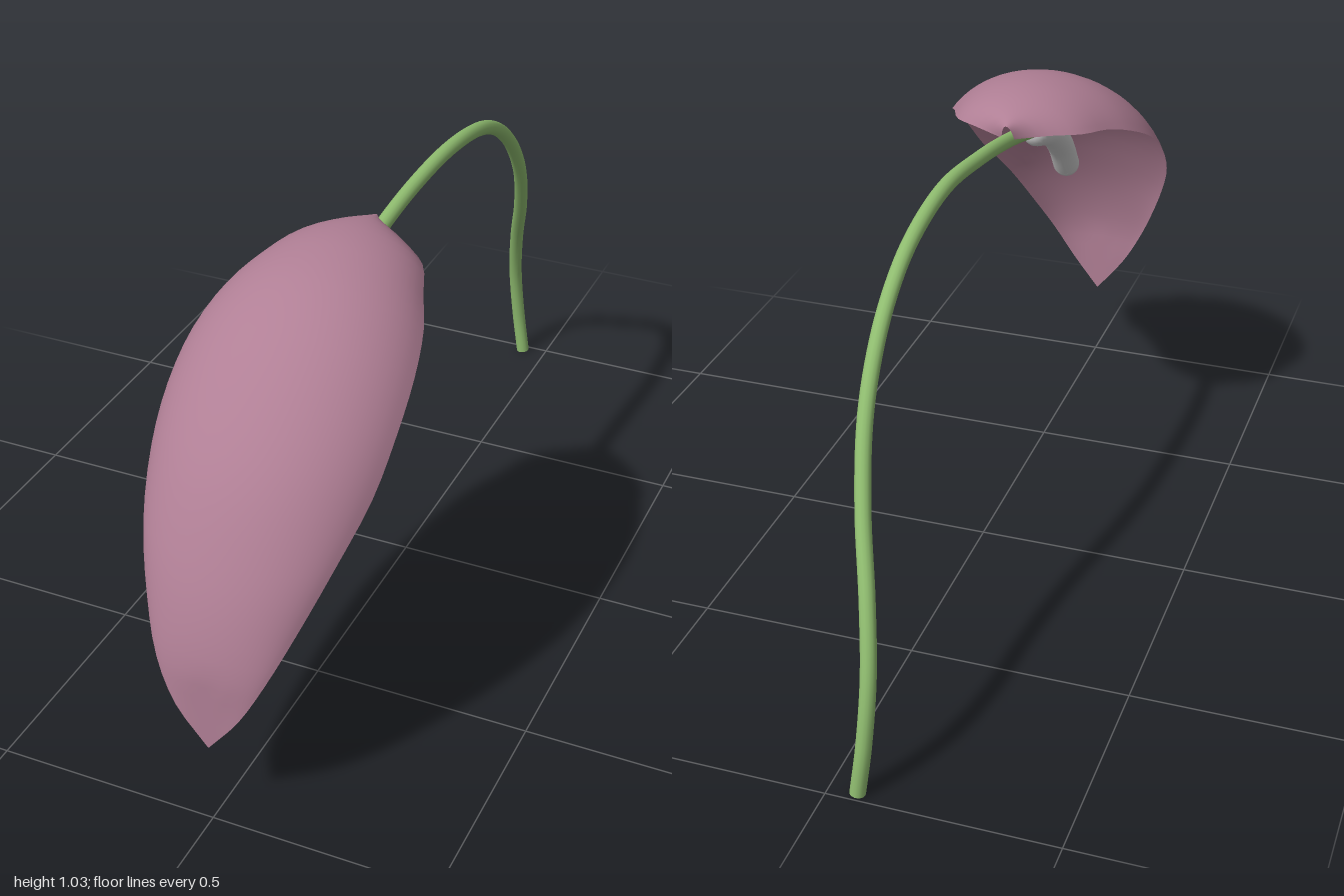
import * as THREE from 'three';

const v = (x, y, z) => new THREE.Vector3(x, y, z);
const curveOf = (pts) => new THREE.CatmullRomCurve3(pts.map((p) => v(...p)));

function addMesh(parent, name, geometry, material) {
  const mesh = new THREE.Mesh(geometry, material);
  mesh.name = name;
  parent.add(mesh);
  return mesh;
}

// Cupped leaf: each row arcs from one rim, over the ridge, to the other rim
function spatheGeometry(rows, nv = 36, nu = 24, bend = 1.2) {
  const ridge = curveOf(rows.map(([z, y]) => [0, y, z]));
  const rim = curveOf(rows.map(([, , x, z, y]) => [x, y, z]));
  const positions = [], index = [];
  for (let j = 0; j <= nv; j++) {
    const a = ridge.getPoint(j / nv), b = rim.getPoint(j / nv);
    for (let i = 0; i <= nu; i++) {
      const t = ((i / nu) * 2 - 1) * bend;
      const across = Math.sin(t) / Math.sin(bend);
      const drop = (1 - Math.cos(t)) / (1 - Math.cos(bend));
      positions.push(b.x * across, a.y + (b.y - a.y) * drop, Math.min(1, a.z + (b.z - a.z) * drop));
      if (i < nu && j < nv) {
        const p = j * (nu + 1) + i, q = p + nu + 1;
        index.push(p, q, p + 1, p + 1, q, q + 1);
      }
    }
  }
  const g = new THREE.BufferGeometry();
  g.setAttribute('position', new THREE.Float32BufferAttribute(positions, 3));
  g.setIndex(index);
  g.computeVertexNormals();
  return g;
}

export function createModel() {
  const model = new THREE.Group();
  model.name = 'flower';
  const purple = new THREE.MeshStandardMaterial({ color: 0xb07f95, side: THREE.DoubleSide });
  const green = new THREE.MeshStandardMaterial({ color: 0x8fbc6f });
  const grey = new THREE.MeshStandardMaterial({ color: 0xcccccc });

  // Spathe rows: ridge z, ridge y, rim x, rim z, rim y
  addMesh(model, 'spathe', spatheGeometry([
    [0.16, 0.995, 0.015, 0.175, 0.96],
    [0.22, 1.015, 0.09, 0.21, 0.965],
    [0.29, 1.028, 0.15, 0.26, 0.957],
    [0.38, 1.03, 0.19, 0.35, 0.94],
    [0.5, 1.01, 0.225, 0.43, 0.91],
    [0.62, 0.955, 0.248, 0.53, 0.86],
    [0.74, 0.86, 0.254, 0.635, 0.785],
    [0.85, 0.74, 0.245, 0.73, 0.695],
    [0.93, 0.6, 0.21, 0.84, 0.585],
    [0.975, 0.49, 0.165, 0.92, 0.47],
    [1, 0.38, 0.12, 0.975, 0.37],
    [1, 0.29, 0.07, 0.998, 0.28],
    [1, 0.19, 0, 1, 0.19],
  ]), purple);

  // Arching stem
  const stemPath = curveOf([
    [-0.063, 0, -0.98], [-0.077, 0.12, -0.973], [-0.08, 0.27, -0.945], [-0.06, 0.41, -0.89],
    [-0.02, 0.56, -0.8], [0.01, 0.71, -0.7], [0.02, 0.83, -0.6], [0.022, 0.91, -0.5],
    [0.022, 0.96, -0.39], [0.02, 0.992, -0.2], [0.01, 0.98, 0], [0.004, 0.947, 0.2], [0, 0.9, 0.39],
  ]);
  addMesh(model, 'stem', new THREE.TubeGeometry(stemPath, 80, 0.017, 14), green);
  const cut = addMesh(model, 'stemBase', new THREE.CircleGeometry(0.017, 14), green);
  cut.position.copy(stemPath.getPoint(0));
  cut.rotation.x = Math.PI / 2;

  // Bent spadix with rounded ends
  const spadix = new THREE.Group();
  spadix.name = 'spadix';
  model.add(spadix);
  const radius = 0.033;
  const path = curveOf([[0, 0.89, 0.395], [0, 0.845, 0.51], [0, 0.78, 0.6], [0, 0.705, 0.658]]);
  addMesh(spadix, 'spadixBody', new THREE.TubeGeometry(path, 24, radius, 18), grey);
  for (const t of [0, 1]) {
    const end = addMesh(spadix, 'spadixEnd', new THREE.SphereGeometry(radius, 18, 12), grey);
    end.position.copy(path.getPoint(t));
  }
  return model;
}
